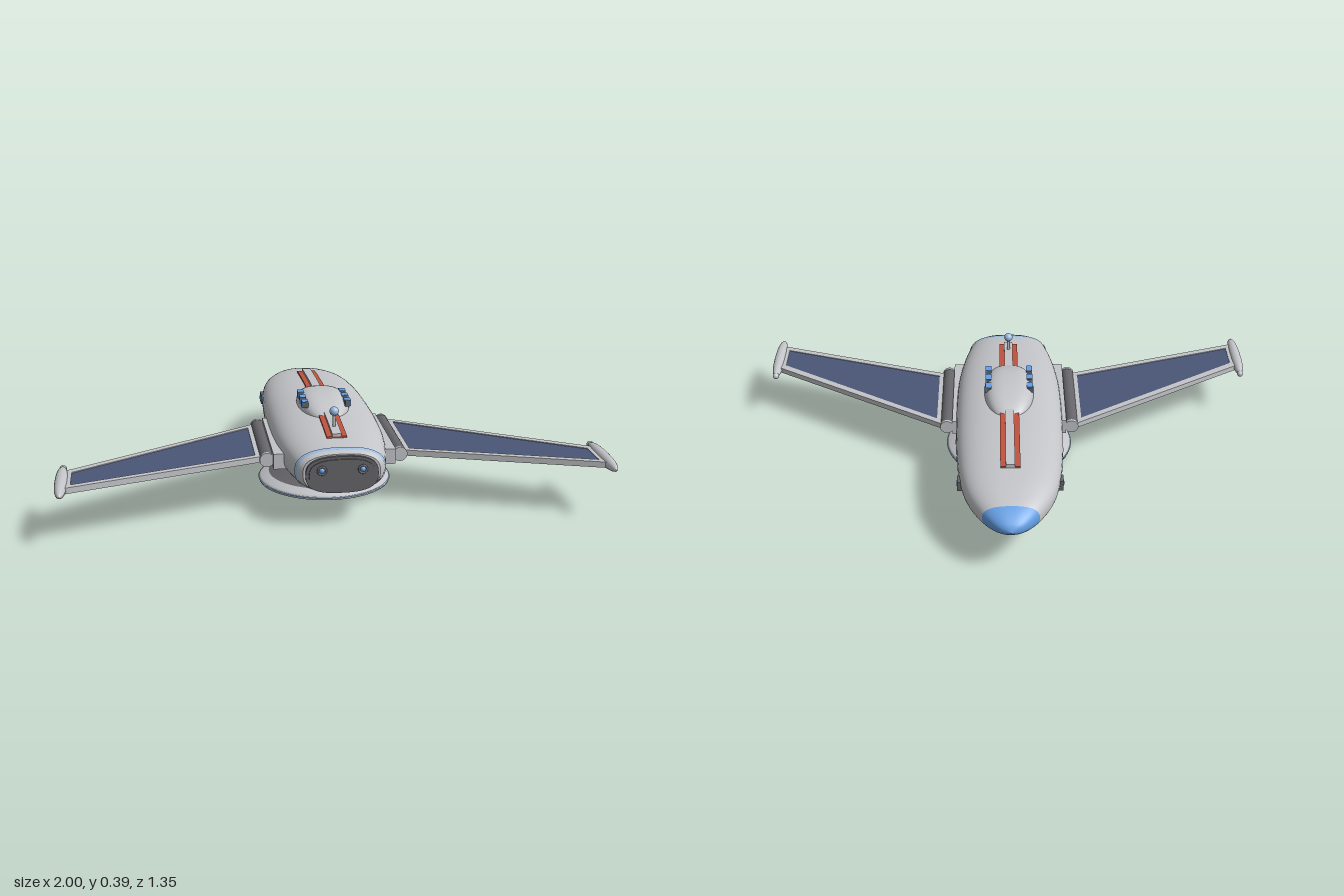
import * as THREE from 'three';

const mat = (name, color, side = THREE.FrontSide) => {
  const m = new THREE.MeshStandardMaterial({ color, side });
  m.name = name;
  return m;
};

// Hull stations: half width, half height, z (nose to tail)
const hullCurve = new THREE.CatmullRomCurve3([
  [0, 0, -0.675], [0.045, 0.024, -0.657], [0.1, 0.052, -0.6], [0.155, 0.073, -0.5], [0.183, 0.085, -0.4],
  [0.203, 0.098, -0.2], [0.209, 0.103, 0], [0.209, 0.104, 0.15], [0.203, 0.099, 0.3], [0.187, 0.09, 0.43],
  [0.167, 0.081, 0.53], [0.155, 0.076, 0.57], [0.138, 0.07, 0.588],
].map(p => new THREE.Vector3(...p)));
const hullPts = hullCurve.getPoints(400);

// Each section function gives half width, half height, centre height and squareness at z
function hullAt(z) {
  let i = 1;
  while (i < hullPts.length - 1 && hullPts[i].z < z) i++;
  const a = hullPts[i - 1], b = hullPts[i];
  const k = THREE.MathUtils.clamp((z - a.z) / (b.z - a.z), 0, 1);
  const w = a.x + (b.x - a.x) * k, h = a.y + (b.y - a.y) * k;
  return { w, h, cy: 0.2 + 0.1 * h, e: 2.5 };
}
const hullTop = z => { const s = hullAt(z); return s.cy + s.h; };
const swell = (u, p) => Math.sqrt(Math.max(0, 1 - Math.abs(u) ** p));
const canopyAt = z => {
  const k = swell((z - 0.09) / 0.197, 2.2);
  return { w: 0.098 * k, h: 0.065 * (0.6 * k + 0.4 * k * k), cy: 0.296, e: 2.8 };
};
const podAt = z => {
  const k = 0.023 * swell(z / 0.145, 2.6);
  return { w: k, h: k, cy: 0, e: 2 };
};

const sePoint = (s, t) => {
  const c = Math.cos(t), n = Math.sin(t);
  return [s.w * Math.sign(c) * Math.abs(c) ** (2 / s.e), s.cy + s.h * Math.sign(n) * Math.abs(n) ** (2 / s.e)];
};

// Skin of superellipse sections between z0 and z1, optionally only an arc, pushed out by grow
function loft(at, z0, z1, n, { m = 56, t0 = 0, t1 = Math.PI * 2, grow = 0 } = {}) {
  const full = t1 - t0 > 6.28, cols = full ? m : m + 1, pos = [], idx = [];
  for (let i = 0; i <= n; i++) {
    const z = z0 + (z1 - z0) * (1 - Math.cos(Math.PI * i / n)) / 2, s = at(z);
    s.w += grow; s.h += grow;
    for (let j = 0; j < cols; j++) pos.push(...sePoint(s, t0 + (t1 - t0) * j / m), z);
  }
  for (let i = 0; i < n; i++) for (let j = 0; j < m; j++) {
    const j2 = full ? (j + 1) % m : j + 1;
    const a = i * cols + j, b = i * cols + j2, c = a + cols, d = b + cols;
    idx.push(a, b, c, b, d, c);
  }
  const g = new THREE.BufferGeometry();
  g.setAttribute('position', new THREE.Float32BufferAttribute(pos, 3));
  g.setIndex(idx);
  g.computeVertexNormals();
  return g;
}

// Flat superellipse slab facing +z
function slab(w, h, depth) {
  const pts = [];
  for (let i = 0; i < 56; i++) pts.push(new THREE.Vector2(...sePoint({ w, h, cy: 0, e: 2.7 }, i / 56 * Math.PI * 2)));
  return new THREE.ExtrudeGeometry(new THREE.Shape(pts), { depth, bevelEnabled: false });
}

const lathe = (pts, seg = 56) => new THREE.LatheGeometry(pts.map(p => new THREE.Vector2(...p)), seg);
const box = (x, y, z) => new THREE.BoxGeometry(x, y, z);

export function createModel() {
  const root = new THREE.Group();
  const grey = mat('hull grey', 0xc4c5c9);
  const dark = mat('dark grey', 0x66666a);
  const navy = mat('panel navy', 0x4a5577);
  const blue = mat('light blue', 0x66a0e4);
  const glass = mat('window blue', 0x66a0e4, THREE.DoubleSide);
  const pale = mat('pale blue', 0x9cc0e6, THREE.DoubleSide);
  const red = mat('stripe red', 0xc0533f);
  const add = (name, geo, m, x = 0, y = 0, z = 0, parent = root) => {
    const o = new THREE.Mesh(geo, m);
    o.name = name;
    o.position.set(x, y, z);
    parent.add(o);
    return o;
  };

  // Fuselage
  add('noseCap', loft(hullAt, -0.675, -0.595, 16), blue);
  add('fuselage', loft(hullAt, -0.595, 0.588, 60), grey);
  add('tailBand', loft(hullAt, 0.552, 0.57, 2, { grow: 0.0025 }), pale);
  add('tailCap', slab(0.138, 0.07, 0.004), grey, 0, 0.206, 0.585);
  add('tailPlate', slab(0.13, 0.068, 0.012), dark, 0, 0.203, 0.588);
  add('tailPlateInset', slab(0.118, 0.058, 0.004), dark, 0, 0.203, 0.6);

  // Raised spine following the hull top
  for (const [name, w, lift, m] of [['spineStripe', 0.074, 0.006, red], ['spineRidge', 0.034, 0.016, grey]]) {
    const s = new THREE.BoxGeometry(w, 0.03, 0.88, 1, 1, 40).translate(0, lift - 0.015, 0.03);
    const p = s.attributes.position;
    for (let i = 0; i < p.count; i++) p.setY(i, p.getY(i) + hullTop(p.getZ(i)));
    s.computeVertexNormals();
    add(name, s, m);
  }

  // Canopy and antenna
  add('canopy', loft(canopyAt, -0.107, 0.287, 36), grey);
  add('antennaMast', new THREE.CylinderGeometry(0.006, 0.006, 0.08, 16), grey, 0, 0.335, 0.4);
  add('antennaBall', new THREE.SphereGeometry(0.017, 24, 16), pale, 0, 0.374, 0.4);

  // Mirrored side parts
  for (const s of [1, -1]) {
    const side = new THREE.Group();
    side.name = s > 0 ? 'leftSide' : 'rightSide';
    side.scale.x = s;
    root.add(side);
    const put = (name, geo, m, x, y, z) => add(name, geo, m, x, y, z, side);

    for (const z of [0.062, 0.125, 0.188]) {
      put('canopyWindowFrame', box(0.018, 0.023, 0.041), dark, 0.08, 0.341, z);
      put('canopyWindow', box(0.024, 0.025, 0.035), blue, 0.081, 0.341, z);
    }
    for (let i = 0; i < 4; i++) {
      const z = -0.141 - i * 0.058;
      put('hullWindow', loft(hullAt, z - 0.018, z + 0.018, 4, { m: 4, t0: 0.01, t1: 0.135, grow: 0.002 }), glass);
    }
    put('hatch', box(0.03, 0.04, 0.046), dark, 0.182, 0.198, -0.373);
    put('hatchLight', box(0.006, 0.015, 0.018), blue, 0.197, 0.198, -0.373);
    put('tailLightRing', new THREE.TorusGeometry(0.014, 0.004, 10, 24), dark, 0.073, 0.222, 0.604);
    put('tailLight', new THREE.SphereGeometry(0.011, 20, 14), blue, 0.073, 0.222, 0.601);

    // Wing mount and hinge
    put('wingMount', box(0.06, 0.058, 0.43), grey, 0.195, 0.199, 0.21);
    put('hinge', new THREE.CylinderGeometry(0.026, 0.026, 0.385, 28).rotateX(Math.PI / 2), dark, 0.246, 0.199, 0.2);
    for (const z of [0.002, 0.398])
      put('hingeCap', new THREE.CylinderGeometry(0.027, 0.027, 0.012, 28).rotateX(Math.PI / 2), grey, 0.246, 0.199, z);

    // Swept wing: frame around a dark panel
    const v = pts => pts.map(p => new THREE.Vector2(...p));
    const inner = v([[0.287, 0.047], [0.942, 0.46], [0.942, 0.583], [0.287, 0.367]]);
    const frame = new THREE.Shape(v([[0.262, 0.004], [0.965, 0.44], [0.965, 0.617], [0.262, 0.385]]));
    frame.holes.push(new THREE.Path(inner));
    const flat = (shape, depth) =>
      new THREE.ExtrudeGeometry(shape, { depth, bevelEnabled: false }).rotateX(Math.PI / 2).translate(0, depth / 2, 0);
    put('wingFrame', flat(frame, 0.022), grey, 0, 0.197, 0);
    put('wingPanel', flat(new THREE.Shape(inner), 0.016), navy, 0, 0.197, 0);
    put('wingtipPod', loft(podAt, -0.145, 0.145, 24, { m: 28 }), grey, 0.976, 0.198, 0.53);
    put('wingtipBall', new THREE.SphereGeometry(0.013, 20, 14), grey, 0.976, 0.198, 0.39);
  }

  // Belly dish
  const dish = new THREE.Group();
  dish.name = 'bellyDish';
  dish.position.z = 0.14;
  root.add(dish);
  add('dishCone', lathe([[0.215, 0.057], [0.15, 0.08], [0.1, 0.1], [0.07, 0.118]]), dark, 0, 0, 0, dish);
  add('dishRim', lathe([[0.236, 0.024], [0.252, 0.026], [0.254, 0.034], [0.245, 0.044], [0.212, 0.058]]), grey, 0, 0, 0, dish);
  add('dishTrim', new THREE.TorusGeometry(0.252, 0.003, 8, 64).rotateX(Math.PI / 2), pale, 0, 0.034, 0, dish);
  add('dishBowl', lathe([[0, 0.05], [0.08, 0.047], [0.16, 0.038], [0.238, 0.024]]), grey, 0, 0, 0, dish);
  for (const [r, y] of [[0.07, 0.046], [0.12, 0.042], [0.165, 0.036], [0.205, 0.03]])
    add('dishRing', new THREE.TorusGeometry(r, 0.005, 8, 56).rotateX(Math.PI / 2), dark, 0, y, 0, dish);
  for (let i = 0; i < 4; i++) {
    const spoke = add('dishSpoke', box(0.235, 0.006, 0.007).translate(0.118, 0, 0), grey, 0, 0.029, 0, dish);
    spoke.rotation.y = Math.PI / 4 + i * Math.PI / 2;
  }
  const emitter = add('dishEmitter', new THREE.SphereGeometry(0.033, 28, 18), pale, 0, 0.029, 0, dish);
  emitter.scale.y = 0.82;

  // Small turret under the nose
  add('turretCollar', lathe([[0.03, 0.098], [0.043, 0.101], [0.043, 0.116], [0.038, 0.125]], 32), grey, 0, 0, -0.388);
  add('turretBowl', lathe([[0.022, 0.07], [0.031, 0.08], [0.036, 0.1]], 32), grey, 0, 0, -0.388);
  add('turretStem', new THREE.CylinderGeometry(0.022, 0.022, 0.05, 32), dark, 0, 0.058, -0.388);
  add('turretFoot', new THREE.CylinderGeometry(0.032, 0.032, 0.01, 32), grey, 0, 0.032, -0.388);
  add('turretLens', new THREE.CylinderGeometry(0.02, 0.02, 0.004, 32), dark, 0, 0.026, -0.388);
  return root;
}
